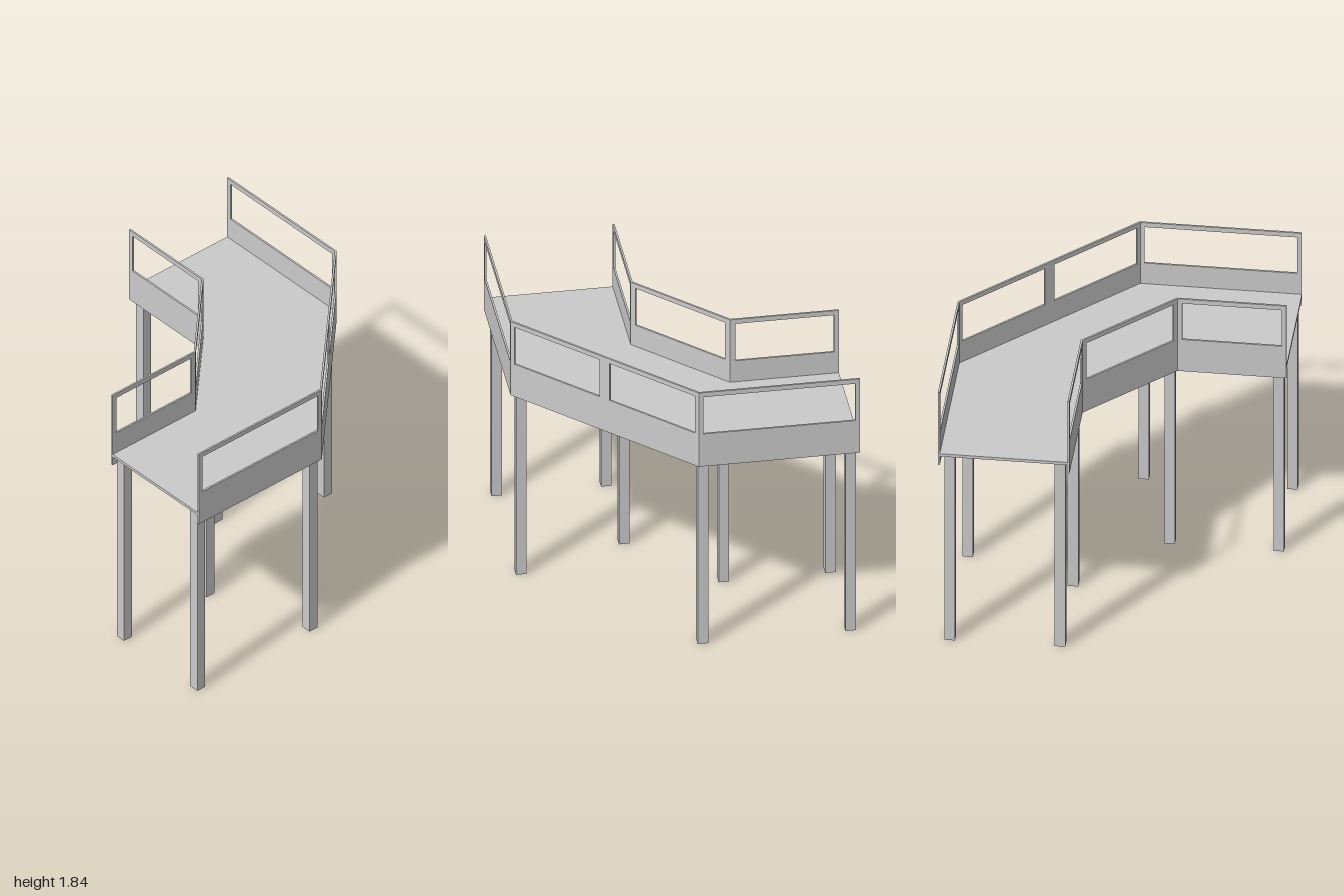
import * as THREE from 'three';

const T = 0.012; // wall thickness
const MITER = Math.tan(Math.PI / 8);
const mat = new THREE.MeshStandardMaterial({ color: 0xcccccc, flatShading: true });

// Wall panel from p to q ([x, z]) with window openings; m0 / m1 slant its ends
function wallPanel(p, q, m0, m1, windows, name) {
  const dx = q[0] - p[0], dz = q[1] - p[1];
  const len = Math.hypot(dx, dz);
  const rect = (Kind, a, b, y0, y1) => new Kind([
    new THREE.Vector2(a, y0), new THREE.Vector2(b, y0),
    new THREE.Vector2(b, y1), new THREE.Vector2(a, y1)]);
  const shape = rect(THREE.Shape, 0, len, 1.303, 1.835);
  const frame = 0.03, post = 0.075;
  const w = (len - 2 * frame - (windows - 1) * post) / windows;
  for (let i = 0; i < windows; i++) {
    const a = frame + i * (w + post);
    shape.holes.push(rect(THREE.Path, a, a + w, 1.537, 1.803));
  }
  const geo = new THREE.ExtrudeGeometry(shape, { depth: T, bevelEnabled: false });
  geo.translate(0, 0, -T);
  // mitre the inner face where two panels meet
  const pos = geo.attributes.position;
  for (let i = 0; i < pos.count; i++) {
    if (pos.getZ(i) > -T / 2) continue;
    const x = pos.getX(i);
    if (x < 1e-4) pos.setX(i, x + m0 * T);
    if (x > len - 1e-4) pos.setX(i, x - m1 * T);
  }
  geo.computeVertexNormals();
  const mesh = new THREE.Mesh(geo, mat);
  mesh.name = name;
  mesh.position.set(p[0], 0, p[1]);
  mesh.rotation.y = -Math.atan2(dz, dx);
  return mesh;
}

function railing(points, turn, windows, name) {
  const g = new THREE.Group();
  g.name = name;
  for (let i = 0; i < 3; i++) {
    g.add(wallPanel(points[i], points[i + 1],
      i > 0 ? turn * MITER : 0, i < 2 ? turn * MITER : 0, windows[i], name + 'Panel' + (i + 1)));
  }
  return g;
}

export function createModel() {
  const model = new THREE.Group();
  model.name = 'elevatedWalkway';

  // Railings along the outer and inner sides of the bend
  model.add(railing([[-1, 1], [0, 1], [1, 0], [1, -1]], 1, [1, 2, 1], 'outerRailing'));
  model.add(railing([[0.19, -1], [0.19, -0.33], [-0.33, 0.19], [-1, 0.19]], -1, [1, 1, 1], 'innerRailing'));

  // Deck slab between the railings, open at both ends
  const k = T * MITER, o = 1 - T, n = 0.19 + T;
  const outline = [[-1, o], [-k, o], [o, -k], [o, -1], [n, -1], [n, -0.33 + k], [-0.33 + k, n], [-1, n]];
  const deckGeo = new THREE.ExtrudeGeometry(
    new THREE.Shape(outline.map(([x, z]) => new THREE.Vector2(x, -z))),
    { depth: 0.02, bevelEnabled: false });
  deckGeo.rotateX(-Math.PI / 2);
  const deck = new THREE.Mesh(deckGeo, mat);
  deck.name = 'deck';
  deck.position.y = 1.365;
  model.add(deck);

  // Square legs under the corners and ends
  const legs = [[-0.95, 0.933], [-0.95, 0.255], [-0.036, 0.933], [-0.278, 0.255],
    [0.93, -0.033], [0.252, -0.275], [0.93, -0.948], [0.252, -0.935]];
  const legGeo = new THREE.BoxGeometry(0.065, 1.365, 0.065);
  legs.forEach(([x, z], i) => {
    const leg = new THREE.Mesh(legGeo, mat);
    leg.name = 'leg' + (i + 1);
    leg.position.set(x, 1.365 / 2, z);
    model.add(leg);
  });

  return model;
}
